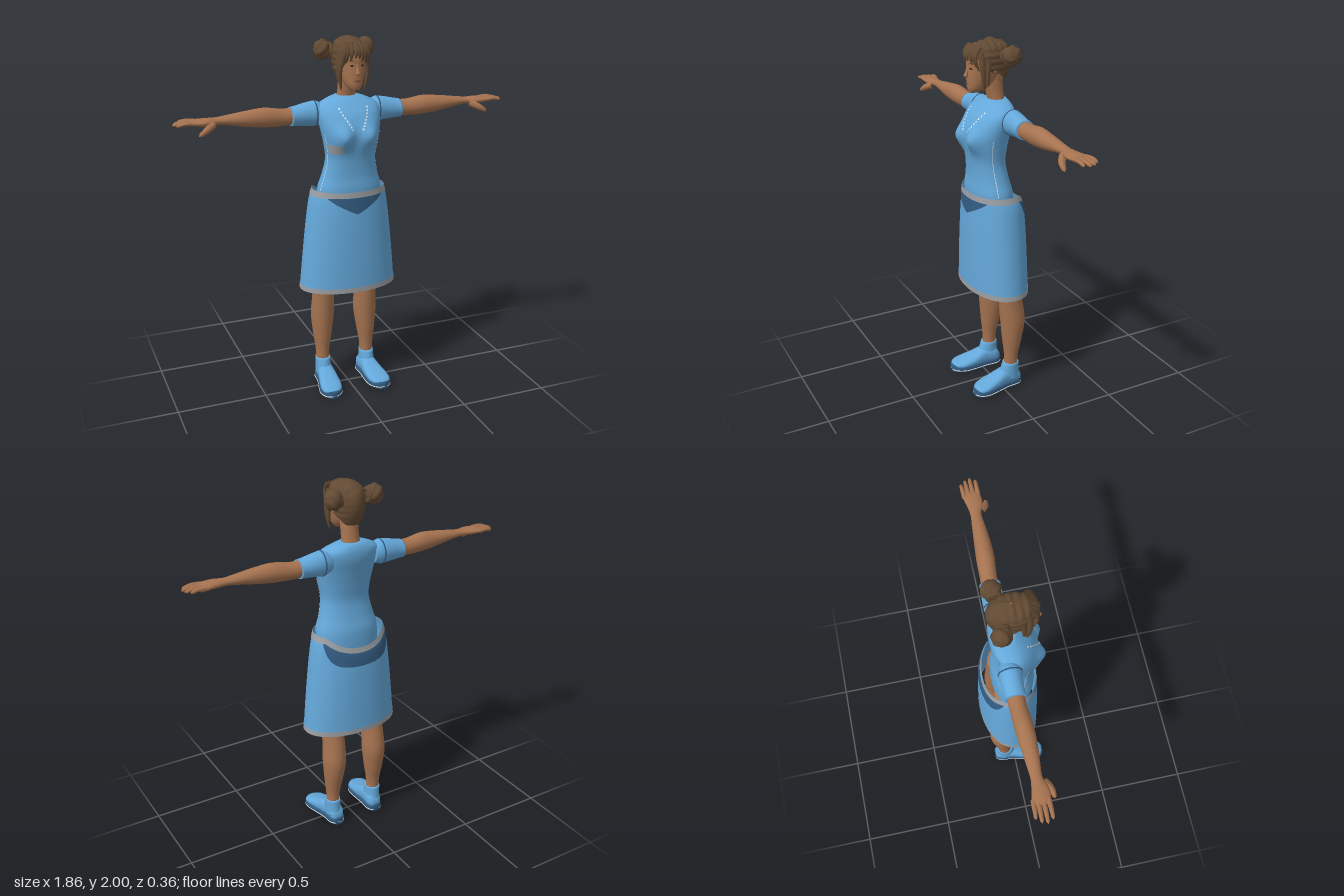
import * as THREE from 'three';
import { mergeVertices } from 'three/addons/utils/BufferGeometryUtils.js';

const mat = (name, color, side = THREE.FrontSide) => {
  const m = new THREE.MeshStandardMaterial({ color, side });
  m.name = name;
  return m;
};
const V = (x, y, z) => new THREE.Vector3(x, y, z);
const PI = Math.PI;

// Smooth interpolation of cross-section rows [height, centreX, halfWidth, zFront, zBack]
function sample(rows, h) {
  let i = 0;
  while (i < rows.length - 2 && h > rows[i + 1][0]) i++;
  const a = rows[i], b = rows[i + 1], p = rows[Math.max(i - 1, 0)], q = rows[Math.min(i + 2, rows.length - 1)];
  const d = b[0] - a[0], s = THREE.MathUtils.clamp((h - a[0]) / d, 0, 1), s2 = s * s, s3 = s2 * s;
  return a.map((v, k) => {
    const ma = (b[k] - p[k]) / (b[0] - p[0]) * d, mb = (q[k] - v) / (q[0] - a[0]) * d;
    return (2 * s3 - 3 * s2 + 1) * v + (s3 - 2 * s2 + s) * ma + (3 * s2 - 2 * s3) * b[k] + (s3 - s2) * mb;
  });
}

// Surface function (angle, height) -> point; n above 2 makes the section squarer
const surface = (rows, n = 2) => (t, h) => {
  const [, cx, w, f, b] = sample(rows, h);
  const pw = (c) => Math.sign(c) * Math.abs(c) ** (2 / n);
  return V(cx + w * pw(Math.cos(t)), h, (f + b) / 2 + (f - b) / 2 * pw(Math.sin(t)));
};

function grid(point, nu, nv) {
  const pos = [], idx = [];
  for (let j = 0; j <= nv; j++) for (let i = 0; i <= nu; i++) pos.push(...point(i / nu, j).toArray());
  for (let j = 0; j < nv; j++) for (let i = 0; i < nu; i++) {
    const a = j * (nu + 1) + i, b = a + nu + 1;
    idx.push(a, b, a + 1, a + 1, b, b + 1);
  }
  let g = new THREE.BufferGeometry();
  g.setAttribute('position', new THREE.Float32BufferAttribute(pos, 3));
  g.setIndex(idx);
  g = mergeVertices(g, 1e-5);
  g.computeVertexNormals();
  return g;
}

// Closed body with both ends capped
function loft(rows, { n = 2, nu = 28, nv = 28, fn = surface(rows, n) } = {}) {
  const h0 = rows[0][0], h1 = rows[rows.length - 1][0];
  return grid((u, j) => {
    const h = h0 + (h1 - h0) * THREE.MathUtils.clamp((j - 1) / nv, 0, 1);
    if (j > 0 && j < nv + 2) return fn(u * PI * 2, h);
    const r = sample(rows, h);
    return V(r[1], h, (r[3] + r[4]) / 2);
  }, nu, nv + 2);
}

// Open piece of a surface between two angles and two height curves
function patch(fn, t0, t1, lo, hi, off = 0.003, nu = 24, nv = 4) {
  const val = (f, u) => (typeof f === 'function' ? f(u) : f);
  return grid((u, j) => {
    const t = t0 + (t1 - t0) * u, a = val(lo, u), b = val(hi, u);
    return fn(t, a + (b - a) * j / nv).add(V(Math.cos(t) * off, 0, Math.sin(t) * off));
  }, nu, nv);
}

// Tapered tube for locks and fingers
function taper(points, r0, r1, squash = 1) {
  const curve = new THREE.CatmullRomCurve3(points), n = 10, sides = 8;
  const g = new THREE.TubeGeometry(curve, n, 1, sides), p = g.attributes.position;
  for (let k = 0; k < p.count; k++) {
    const u = Math.floor(k / (sides + 1)) / n, c = curve.getPointAt(u);
    const r = (r0 + (r1 - r0) * u * u) * (u === 1 ? 0.1 : 1);
    const d = V(0, 0, 0).fromBufferAttribute(p, k).sub(c);
    p.setXYZ(k, c.x + d.x * r, c.y + d.y * r, c.z + d.z * r * squash);
  }
  g.computeVertexNormals();
  return g;
}

function mirrored(g) {
  const m = g.clone().scale(-1, 1, 1), ix = m.index.array;
  for (let i = 0; i < ix.length; i += 3) [ix[i], ix[i + 1]] = [ix[i + 1], ix[i]];
  m.computeVertexNormals();
  return m;
}

export function createModel() {
  const root = new THREE.Group();
  const D = THREE.DoubleSide;
  const blue = mat('blue cloth', 0x64a8da, D), navy = mat('dark blue', 0x335c82, D), grey = mat('grey trim', 0x9b9fa3, D);
  const skin = mat('skin', 0xa67350), hair = mat('brown hair', 0x624a33, D), white = mat('white trim', 0xf0f0f0, D);
  const dark = mat('dark eyes', 0x33261d, D), lip = mat('lips', 0x8a5442, D);
  const add = (name, g, m) => {
    const mesh = new THREE.Mesh(g, m);
    mesh.name = name;
    root.add(mesh);
  };
  const pair = (name, g, m) => { add('left ' + name, g, m); add('right ' + name, mirrored(g), m); };

  // Shirt body
  const torsoRows = [[1.05, 0, .18, .11, -.1], [1.19, 0, .178, .125, -.095], [1.27, 0, .155, .12, -.075], [1.36, 0, .138, .125, -.06],
    [1.45, 0, .148, .137, -.07], [1.53, 0, .163, .138, -.085], [1.6, 0, .172, .11, -.1], [1.645, 0, .16, .07, -.1],
    [1.675, 0, .1, .035, -.09], [1.687, 0, .062, .02, -.08]];
  const base = surface(torsoRows, 2.2);
  const torso = (t, h) => {
    const p = base(t, h);
    if (p.z > 0) p.z += .042 * Math.exp(-(((Math.abs(p.x) - .075) / .05) ** 2) - ((h - 1.49) / .06) ** 2) * Math.min(1, p.z / .06);
    return p;
  };
  add('shirt', loft(torsoRows, { fn: torso, nu: 56, nv: 56 }), blue);
  add('shirt pocket patch', patch(torso, 2.1, 2.8, 1.4, 1.45), grey);
  for (let k = 0; k < 8; k++) {
    const t = 1.14 + .042 * k, y = 1.635 - .0145 * k;
    pair('chest stitch ' + (k + 1), patch(torso, t - .03, t + .02, y - .005, y + .003, .003, 2, 1), white);
  }
  pair('side seam', patch(torso, .22, .25, 1.19, 1.5, .002, 1, 20), white);

  // Sleeves and arms, lofted upright and then laid along x
  const along = (rows, o) => loft(rows, o).rotateZ(-PI / 2);
  pair('sleeve', along([[.13, -1.595, .05, .01, -.08], [.17, -1.597, .066, .025, -.09], [.22, -1.596, .062, .022, -.09],
    [.28, -1.592, .053, .02, -.086], [.31, -1.59, .05, .022, -.087]]), blue);
  pair('sleeve seam', new THREE.TorusGeometry(.062, .004, 6, 32).rotateY(PI / 2).scale(1, 1.06, .94).translate(.178, 1.597, -.033), navy);
  pair('arm', along([[.25, -1.594, .045, .012, -.08], [.35, -1.59, .045, .012, -.075], [.45, -1.598, .051, .021, -.073],
    [.55, -1.6, .041, .019, -.065], [.65, -1.602, .026, .01, -.056], [.71, -1.602, .019, .006, -.051],
    [.76, -1.601, .021, .024, -.058], [.81, -1.602, .017, .024, -.069], [.84, -1.602, .012, .018, -.069]], { nv: 40 }), skin);
  [[.9, -.061], [.922, -.038], [.93, -.014], [.915, .011]].forEach(([x, z], k) =>
    pair('finger ' + (k + 1), taper([V(.81, 1.602, z), V(.87, 1.606, z * 1.06), V(x, 1.597, z * 1.1)], .0125, .008), skin));
  pair('thumb', taper([V(.725, 1.592, .005), V(.765, 1.572, .036), V(.81, 1.546, .047)], .02, .009), skin);

  // Skirt, with the waist dipping at the back
  const cone = surface([[.62, 0, .275, .15, -.175], [.8, 0, .258, .15, -.172], [1, 0, .236, .147, -.166], [1.13, 0, .217, .142, -.158], [1.19, 0, .2, .138, -.145]], 2.1);
  const skirt = (t, h) => {
    const p = cone(t, h);
    p.y -= .065 * Math.max(0, (-Math.sin(t) - .5) / .5) * THREE.MathUtils.smoothstep(h, .95, 1.19);
    return p;
  };
  add('skirt', patch(skirt, 0, PI * 2, .62, 1.19, 0, 64, 24), blue);
  add('skirt hem', patch(skirt, 0, PI * 2, .62, .648, .002, 64, 2), grey);
  add('waistband', patch(skirt, 0, PI * 2, 1.16, 1.192, .003, 64, 2), grey);
  add('front waist panel', patch(skirt, PI / 2 - .8, PI / 2 + .8, (u) => 1.16 - .09 * (1 - Math.abs(2 * u - 1)), 1.161, .003, 32, 8), navy);
  add('back waist panel', patch(skirt, -PI / 2 - 1.15, -PI / 2 + 1.15, (u) => 1.16 - .11 * (1 - (2 * u - 1) ** 4), 1.161, .003, 32, 8), navy);

  // Legs
  pair('leg', loft([[.1, .134, .038, -.02, -.098], [.2, .135, .039, -.02, -.1], [.3, .133, .053, -.01, -.122], [.42, .13, .065, 0, -.142],
    [.52, .128, .062, .008, -.13], [.62, .126, .063, .016, -.113], [.75, .12, .073, .035, -.12], [1.08, .095, .085, .06, -.1]], { nv: 40 }), skin);

  // Shoes: feet are lofted along z
  const foot = (rows, o) => loft(rows, o).rotateX(PI / 2);
  pair('shoe upper', foot([[-.115, .128, .026, -.025, -.075], [-.09, .128, .042, -.02, -.105], [-.02, .132, .046, -.02, -.118],
    [.05, .138, .056, -.02, -.092], [.12, .146, .06, -.02, -.068], [.16, .15, .046, -.02, -.056], [.178, .15, .02, -.025, -.045]], { n: 2.4 }), blue);
  pair('shoe ankle', loft([[.05, .132, .045, -.005, -.113], [.1, .134, .043, .004, -.108], [.155, .135, .041, -.01, -.105]], { nv: 10 }), blue);
  const soleRows = (lo, hi, e) => [[-.12, .128, .025, -lo, -hi], [-.095, .128, .044, -lo, -hi], [-.02, .132, .048, -lo, -hi],
    [.06, .14, .06, -lo, -hi], [.12, .146, .064, -lo, -hi], [.165, .15, .045, -lo, -hi], [.182, .15, .02, -lo, -hi]]
    .map(([z, x, w, f, b]) => [z, x, w + e, f, b]);
  pair('shoe sole', foot(soleRows(0, .046, 0), { n: 4 }), navy);
  pair('sole stripe', foot(soleRows(.012, .019, .002), { n: 6 }), white);

  // Neck and head
  add('neck', loft([[1.64, 0, .062, .01, -.085], [1.7, 0, .049, .018, -.07], [1.82, 0, .046, .05, -.06]]), skin);
  const headRows = [[1.733, 0, .022, .125, .07], [1.755, 0, .042, .133, .02], [1.8, 0, .058, .135, -.03], [1.86, 0, .066, .134, -.06],
    [1.91, 0, .068, .132, -.08], [1.96, 0, .052, .1, -.06], [1.98, 0, .025, .06, -.01]];
  const face = surface(headRows, 2.2);
  add('head', loft(headRows, { fn: face }), skin);
  add('nose', taper([V(0, 1.868, .13), V(0, 1.84, .138), V(0, 1.812, .147)], .007, .014), skin);
  pair('ear', new THREE.SphereGeometry(1, 12, 10).scale(.01, .028, .017).translate(.07, 1.855, .012), skin);
  const arch = (y, h) => (u) => y + h * Math.sin(u * PI);
  pair('eye', patch(face, 1.02, 1.33, arch(1.861, -.005), arch(1.861, .006), .003, 10, 2), dark);
  pair('eyebrow', patch(face, .95, 1.36, arch(1.882, .004), arch(1.885, .007), .003, 10, 1), hair);
  add('mouth', patch(face, 1.23, 1.91, arch(1.783, -.007), arch(1.783, .006), .003, 12, 2), lip);

  // Hair cap: low at the nape, high above the face, with rippled strands
  const capSurface = surface([[1.77, 0, .05, .05, -.07], [1.81, 0, .071, .08, -.09], [1.86, 0, .082, .125, -.108], [1.91, 0, .085, .141, -.112],
    [1.95, 0, .076, .125, -.1], [1.98, 0, .052, .09, -.07], [1.997, 0, .004, .015, .005]]);
  const strands = (t, h) => {
    const p = capSurface(t, h);
    p.y += .004 * Math.sin(p.z * 170) * THREE.MathUtils.smoothstep(h, 1.9, 1.96);
    return p.multiply(V(1 + .025 * Math.sin(h * 190), 1, 1));
  };
  const hairline = (u) => {
    const s = Math.sin(u * PI * 2);
    return s > 0 ? 1.83 + .085 * THREE.MathUtils.smoothstep(s, .1, .8) : 1.83 - .05 * THREE.MathUtils.smoothstep(-s, 0, .8);
  };
  add('hair cap', patch(strands, 0, PI * 2, hairline, 1.997, 0, 72, 28), hair);
  [[.0, .012, 1.895], [.022, .034, 1.878], [.04, .055, 1.868], [.052, .068, 1.85]].forEach(([x, x1, y], k) =>
    pair('fringe lock ' + (k + 1), taper([V(x, 1.97, .092), V((x + x1) / 2, 1.93, .138 - x * .35), V(x1, y, .142 - x1 * .6)], .015, .004, .7), hair));
  pair('long side lock', taper([V(.055, 1.94, .085), V(.074, 1.86, .083), V(.075, 1.8, .078), V(.064, 1.725, .07)], .017, .004), hair);
  pair('short side lock', taper([V(.07, 1.91, .05), V(.079, 1.85, .055), V(.078, 1.77, .055)], .015, .004), hair);

  // Buns with wound strands
  const bun = new THREE.SphereGeometry(1, 40, 28).rotateZ(-PI / 2), bp = bun.attributes.position;
  for (let k = 0; k < bp.count; k++) {
    const p = V(0, 0, 0).fromBufferAttribute(bp, k);
    const r = 1 + .06 * Math.sin(5 * Math.atan2(p.y, p.z) + 5 * p.x) * Math.hypot(p.y, p.z);
    bp.setXYZ(k, p.x * r, p.y * r, p.z * r);
  }
  bun.computeVertexNormals();
  pair('hair bun', bun.scale(.046, .053, .05).translate(.12, 1.924, -.06), hair);
  pair('bun base', new THREE.TorusGeometry(.032, .011, 8, 24).rotateY(PI / 2).translate(.083, 1.92, -.052), hair);
  return root;
}
